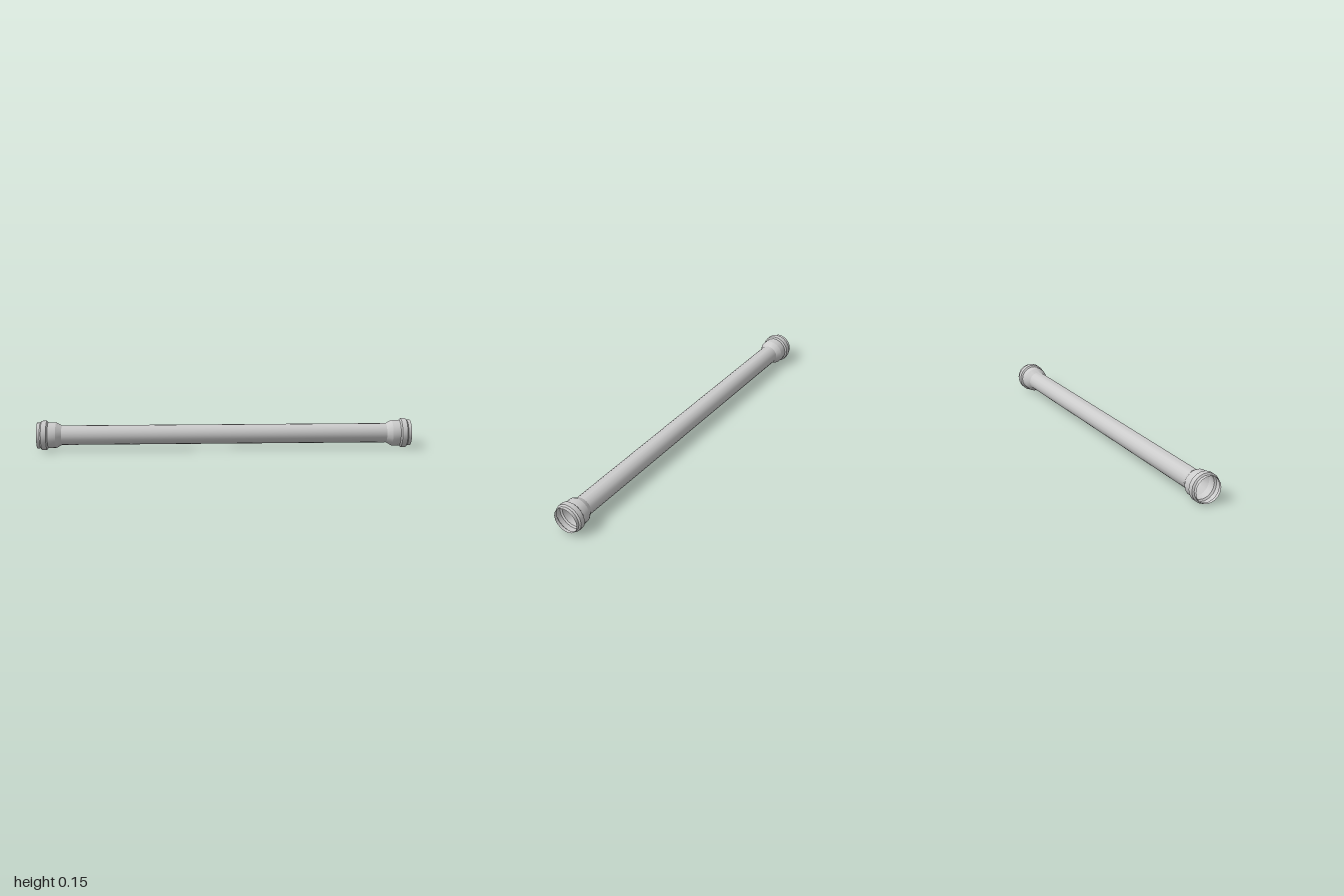
import * as THREE from 'three';
import { toCreasedNormals } from 'three/addons/utils/BufferGeometryUtils.js';

const SIDES = 18;
const RADIUS = 0.0775;                                  // widest radius, at the bead
const AXIS_Y = RADIUS * Math.cos(Math.PI / SIDES);      // rests on a flat side

// Thin wall turned around the x axis from [x, radius] pairs, x rising
function turned(name, profile, material) {
  const points = profile.map(([x, r]) => new THREE.Vector2(r, x));
  const geometry = new THREE.LatheGeometry(points, SIDES).rotateZ(-Math.PI / 2);
  const mesh = new THREE.Mesh(toCreasedNormals(geometry, THREE.MathUtils.degToRad(25)), material);
  mesh.name = name;
  return mesh;
}

export function createModel() {
  const model = new THREE.Group();
  model.name = 'pipe';
  const material = new THREE.MeshStandardMaterial({ color: 0xcccccc, side: THREE.DoubleSide });

  // Long straight tube
  model.add(turned('tube', [[-0.87, 0.052], [0.87, 0.052]], material));

  // Open socket: flared cone, sleeve, bevelled bead and lip
  const socket = [
    [0.87, 0.052], [0.9, 0.069], [0.942, 0.069],
    [0.949, RADIUS], [0.976, RADIUS], [0.983, 0.069], [1, 0.069],
  ];
  for (const side of [1, -1]) {
    const mesh = turned(side > 0 ? 'leftSocket' : 'rightSocket', socket, material);
    if (side < 0) mesh.rotation.y = Math.PI;
    // Half a turn about y needs an extra half turn about x to keep the sides aligned
    model.add(mesh);
  }

  model.children.forEach((part) => { part.position.y = AXIS_Y; });
  return model;
}
